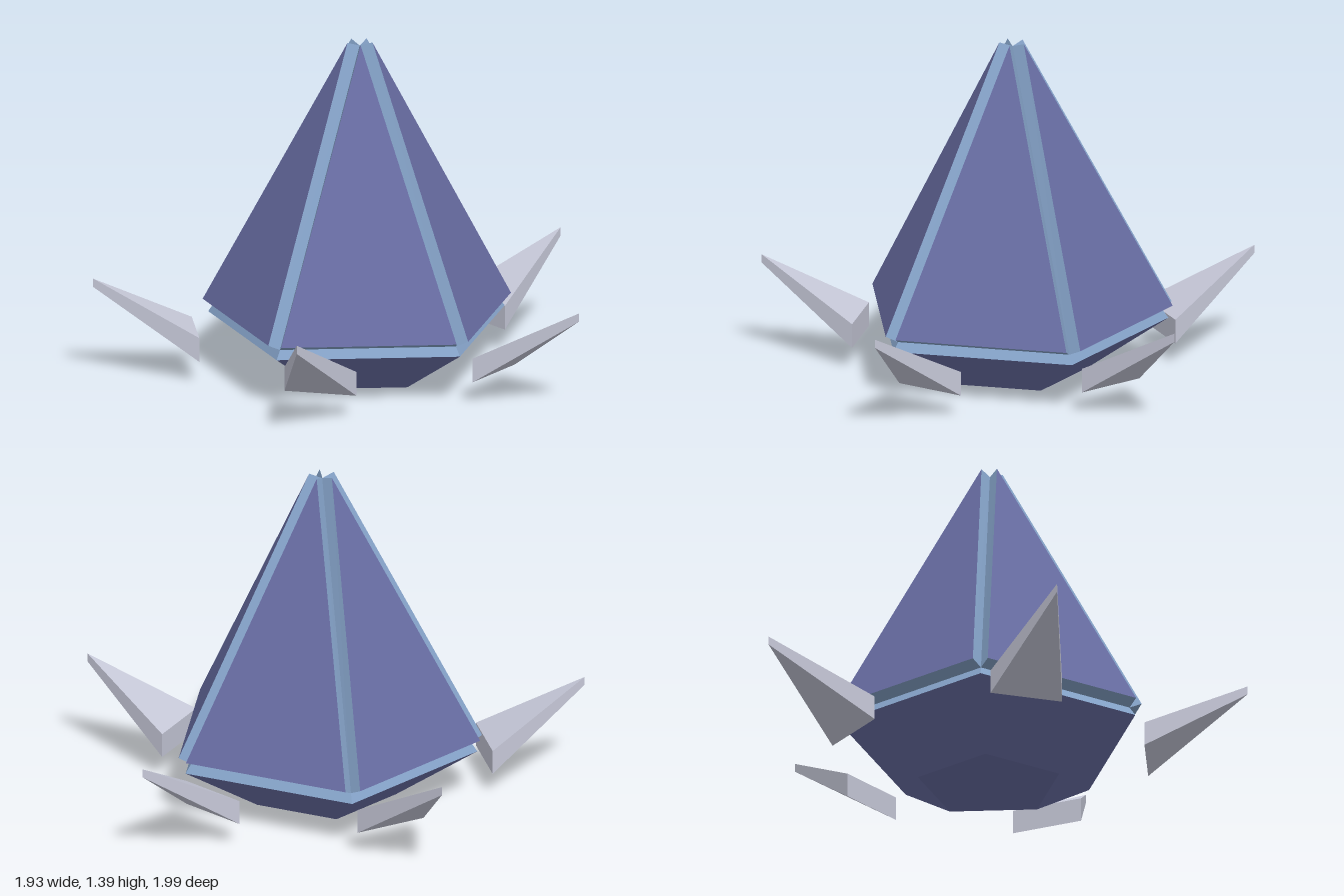
import * as THREE from 'three';

const material = (name, color) => {
  const m = new THREE.MeshStandardMaterial({ color });
  m.name = name;
  return m;
};

// Flat faceted geometry from convex polygons, corners counter-clockwise from outside
function facets(polygons) {
  const positions = [];
  for (const p of polygons) {
    for (let i = 1; i < p.length - 1; i++) positions.push(...p[0], ...p[i], ...p[i + 1]);
  }
  const geometry = new THREE.BufferGeometry();
  geometry.setAttribute('position', new THREE.Float32BufferAttribute(positions, 3));
  geometry.computeVertexNormals();
  return geometry;
}

function addMesh(parent, name, polygons, mat) {
  const mesh = new THREE.Mesh(facets(polygons), mat);
  mesh.name = name;
  parent.add(mesh);
}

// Left and right corners of one pentagon side with circumradius r at height y
function side(r, y) {
  const w = r * Math.sin(Math.PI / 5), d = r * Math.cos(Math.PI / 5);
  return [[-w, y, d], [w, y, d]];
}

export function createModel() {
  const model = new THREE.Group();
  const panelBlue = material('indigo crystal', 0x686da3);
  const grooveBlue = material('pale blue groove', 0x86a4ca);
  const shardGrey = material('lavender grey shard', 0xc6c8d8);

  // Main crystal: five identical sides around its own axis
  const crystal = new THREE.Group();
  crystal.name = 'crystal';
  crystal.position.x = 0.107;
  model.add(crystal);

  const panelL = [-0.355, 0.265, 0.54], panelR = [0.355, 0.265, 0.54];
  const panelTop = [0, 1.387, 0.053], coreTop = [0, 1.37, 0];
  const [coreL, coreR] = side(0.605, 0.242);
  const [rimL, rimR] = side(0.63, 0.205);
  const [baseL, baseR] = side(0.3, 0);

  for (let i = 0; i < 5; i++) {
    const sector = new THREE.Group();
    sector.name = 'crystalSide';
    sector.rotation.y = (i * Math.PI * 2) / 5;
    crystal.add(sector);
    addMesh(sector, 'upperPanel', [[panelL, panelR, panelTop]], panelBlue);
    addMesh(sector, 'lowerPanel', [
      [baseL, baseR, rimR, rimL],
      [[0, 0, 0], baseR, baseL],
    ], panelBlue);
    // Groove walls along both ridges and around the girdle
    addMesh(sector, 'grooveWalls', [
      [coreL, panelL, panelTop, coreTop],
      [panelR, coreR, coreTop, panelTop],
      [coreL, coreR, panelR, panelL],
      [rimL, rimR, coreR, coreL],
    ], grooveBlue);
  }

  // Floating shards: tip and two inner corners as [x, z]
  const shards = [
    [[-0.97, 0], [-0.55, 0.13], [-0.56, -0.17]],
    [[-0.19, -1], [-0.2, -0.56], [0.09, -0.66]],
    [[0.96, -0.59], [0.54, -0.48], [0.71, -0.235]],
    [[0.95, 0.62], [0.715, 0.255], [0.53, 0.49]],
    [[-0.215, 0.99], [0.05, 0.645], [-0.235, 0.555]],
  ];
  for (const corners of shards) {
    const top = corners.map(([x, z], i) => [x, i ? 0.19 : 0.41, z]);
    const bottom = corners.map(([x, z], i) => [x, i ? 0.09 : 0.375, z]);
    const walls = [0, 1, 2].map((i) => {
      const j = (i + 1) % 3;
      return [bottom[i], bottom[j], top[j], top[i]];
    });
    addMesh(model, 'floatingShard', [top, [...bottom].reverse(), ...walls], shardGrey);
  }
  return model;
}
